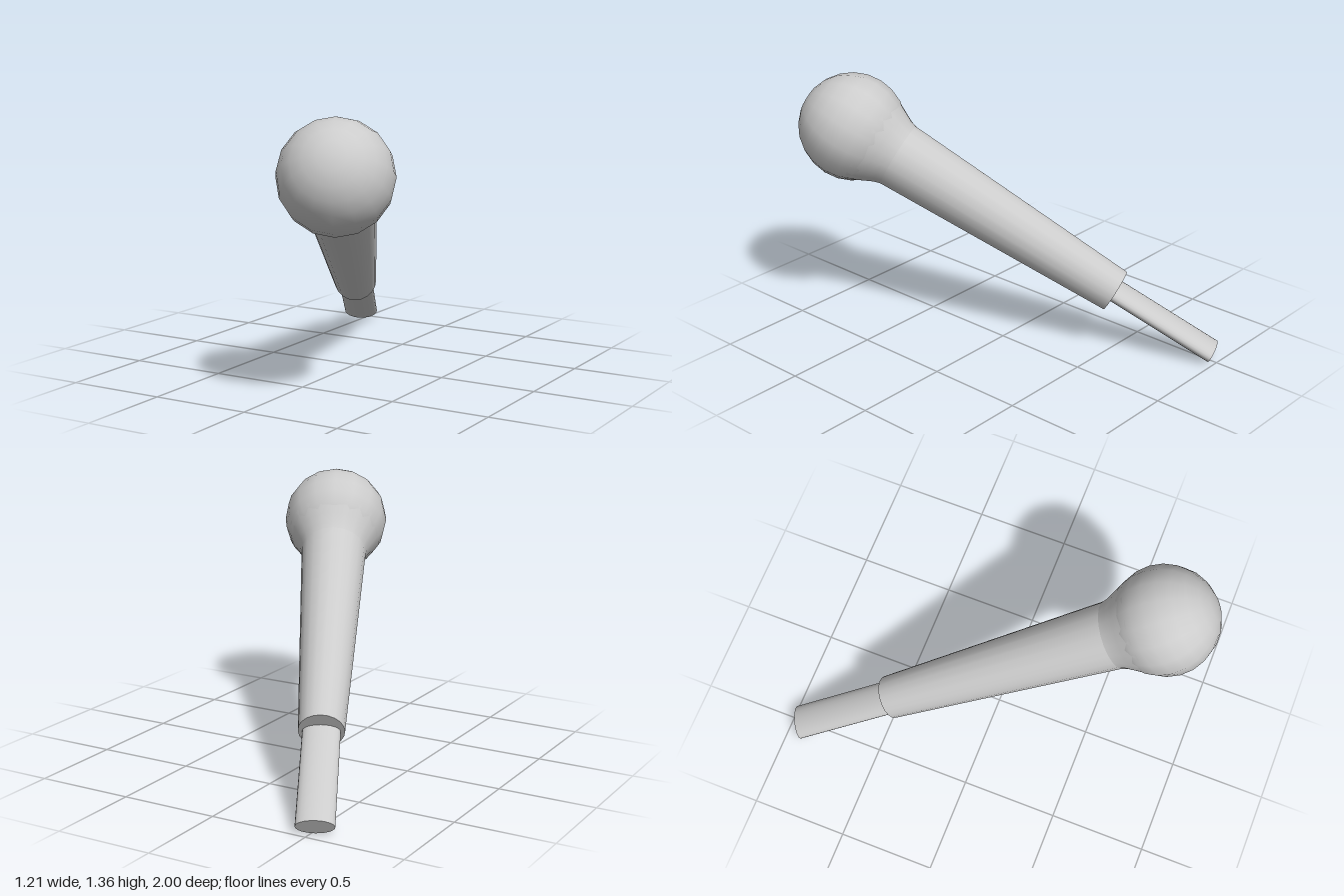
import * as THREE from 'three';

const material = new THREE.MeshStandardMaterial({ color: 0xcccccc });

export function createModel() {
  const model = new THREE.Group();
  model.name = 'handheldRod';
  const add = (name, geometry, y = 0) => {
    const mesh = new THREE.Mesh(geometry, material);
    mesh.name = name;
    mesh.position.y = y;
    rod.add(mesh);
    return mesh;
  };

  // tilted frame: local y runs from the stem tip up to the ball, local x is level
  const ballCentre = new THREE.Vector3(0.33, 1.084, 0.726);
  const stemTip = new THREE.Vector3(-0.525, 0.043, -0.956);
  const axis = ballCentre.clone().sub(stemTip);
  const length = axis.length();
  axis.normalize();
  const level = new THREE.Vector3(axis.z, 0, -axis.x).normalize();
  const across = level.clone().cross(axis);

  const rod = new THREE.Group();
  rod.name = 'rod';
  rod.quaternion.setFromRotationMatrix(new THREE.Matrix4().makeBasis(level, axis, across));
  rod.position.copy(ballCentre);
  model.add(rod);

  // ball head
  add('ball', new THREE.SphereGeometry(0.275, 16, 12));

  // flared collar blending the handle into the ball
  const collar = [[0.17, -0.28], [0.182, -0.24], [0.207, -0.19], [0.248, -0.11]]
    .map(([r, y]) => new THREE.Vector2(r, y));
  add('collar', new THREE.LatheGeometry(collar, 20));

  // tapered handle
  const handleLow = -1.572, handleTop = -0.27;
  add('handle', new THREE.CylinderGeometry(0.172, 0.113, handleTop - handleLow, 20),
    (handleLow + handleTop) / 2);

  // flat oval stem
  const stemTop = -1.5;
  const stem = add('stem', new THREE.CylinderGeometry(1, 1, length + stemTop, 24),
    (stemTop - length) / 2);
  stem.scale.set(0.092, 1, 0.045);

  return model;
}
